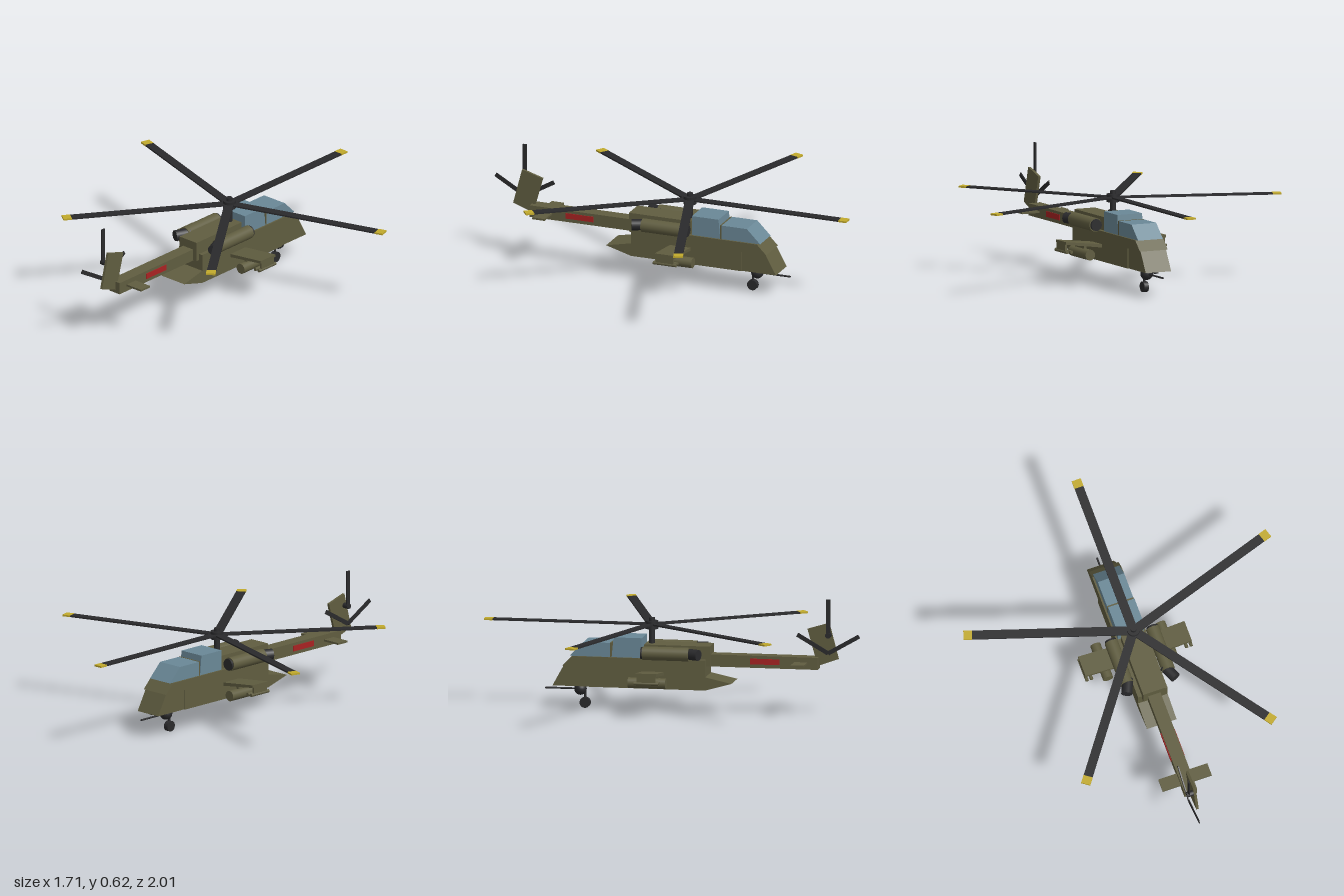
import * as THREE from 'three';

const mat = (name, color) => {
  const m = new THREE.MeshStandardMaterial({ color });
  m.name = name;
  return m;
};

export function createModel() {
  const model = new THREE.Group();
  model.name = 'attackHelicopter';
  const olive = mat('olive', 0x605d40);
  const glass = mat('canopyGlass', 0x6a8897);
  const black = mat('black', 0x2a2a2c);
  const yellow = mat('yellow', 0xc2aa2c);
  const red = mat('red', 0xa82222);

  const add = (name, geo, material, x = 0, y = 0, z = 0, parent = model) => {
    const mesh = new THREE.Mesh(geo, material);
    mesh.name = name;
    mesh.position.set(x, y, z);
    parent.add(mesh);
    return mesh;
  };
  const box = (w, h, d) => new THREE.BoxGeometry(w, h, d);
  const cylY = (r, h, n = 20) => new THREE.CylinderGeometry(r, r, h, n);
  const cylX = (r, h, n) => cylY(r, h, n).rotateZ(Math.PI / 2);
  const cylZ = (r, h, n) => cylY(r, h, n).rotateX(Math.PI / 2);
  // Side profile of [z, y] points, extruded across x
  const side = (points, width) => {
    const shape = new THREE.Shape(points.map(([z, y]) => new THREE.Vector2(-z, y)));
    return new THREE.ExtrudeGeometry(shape, { depth: width, bevelEnabled: false })
      .rotateY(Math.PI / 2).translate(-width / 2, 0, 0);
  };

  // Body
  add('fuselage', side([[0.19, 0.125], [0.19, 0.285], [-0.52, 0.285], [-0.573, 0.232],
    [-0.43, 0.232], [-0.43, 0.125]], 0.164), olive);
  add('nose', side([[-0.43, 0.125], [-0.43, 0.234], [-0.565, 0.234], [-0.625, 0.125]], 0.15), olive);
  add('rearFairing', side([[0.19, 0.125], [0.33, 0.165], [0.19, 0.195]], 0.164), olive);
  add('engineHousing', box(0.12, 0.105, 0.35), olive, 0, 0.3025, 0.035);

  // Stepped canopy
  add('rearCanopy', side([[-0.15, 0.285], [-0.15, 0.39], [-0.3, 0.39], [-0.31, 0.285]], 0.146), glass);
  add('frontCanopy', side([[-0.318, 0.285], [-0.318, 0.36], [-0.46, 0.36], [-0.535, 0.285]], 0.146), glass);
  add('canopyFrame', box(0.148, 0.076, 0.008), olive, 0, 0.323, -0.314);

  // Tail
  add('tailBoom', box(0.07, 0.064, 0.6), olive, 0, 0.278, 0.48);
  add('stabilizer', box(0.272, 0.01, 0.07), olive, 0, 0.279, 0.69);
  add('tailFin', side([[0.885, 0.302], [0.835, 0.492], [0.72, 0.457], [0.775, 0.262]], 0.014), olive);

  // Tail rotor, the two lower blades meeting in a V
  const tailRotor = new THREE.Group();
  tailRotor.name = 'tailRotor';
  tailRotor.position.set(-0.032, 0.43, 0.835);
  model.add(tailRotor);
  add('tailRotorHub', cylX(0.015, 0.034, 14), black, 0.008, 0, 0, tailRotor);
  for (let i = 0; i < 3; i++) {
    const a = i * Math.PI * 2 / 3;
    const blade = add('tailBlade', box(0.006, 0.19, 0.022), black,
      0, 0.095 * Math.cos(a), 0.095 * Math.sin(a), tailRotor);
    blade.rotation.x = -a;
  }

  // Main rotor
  const rotor = new THREE.Group();
  rotor.name = 'mainRotor';
  rotor.position.set(0, 0.455, -0.11);
  model.add(rotor);
  add('mast', cylY(0.016, 0.14), black, 0, -0.035, 0, rotor);
  add('rotorHub', cylY(0.034, 0.042), black, 0, -0.003, 0, rotor);
  for (let i = 0; i < 5; i++) {
    const arm = new THREE.Group();
    arm.name = 'rotorBlade';
    arm.rotation.y = i * Math.PI * 2 / 5;
    rotor.add(arm);
    add('blade', box(0.048, 0.008, 0.845), black, 0, 0, -0.4225, arm);
    add('bladeTip', box(0.05, 0.009, 0.045), yellow, 0, 0, -0.8675, arm);
  }

  // Paired parts
  for (const s of [1, -1]) {
    add('redStripe', box(0.004, 0.03, 0.155), red, s * 0.0365, 0.28, 0.498);

    // Engines
    add('engine', cylZ(0.036, 0.245, 24), olive, s * 0.115, 0.319, -0.0125);
    add('intake', cylZ(0.031, 0.014, 24), black, s * 0.115, 0.319, -0.139);
    const exhaust = add('exhaust', cylZ(0.029, 0.085, 20), black, s * 0.119, 0.32, 0.125);
    exhaust.rotation.y = s * 0.4;

    // Stub wing, rising to the tip
    const wing = new THREE.Shape([[0.07, 0.197], [0.295, 0.227], [0.295, 0.241], [0.07, 0.215]]
      .map(([x, y]) => new THREE.Vector2(s * x, y)));
    add('stubWing', new THREE.ExtrudeGeometry(wing, { depth: 0.115, bevelEnabled: false }),
      olive, 0, 0, -0.145);
    add('podPylon', box(0.014, 0.03, 0.1), olive, s * 0.18, 0.205, -0.09);
    add('rocketPod', cylZ(0.028, 0.2), olive, s * 0.18, 0.172, -0.1);
    add('tipPylon', box(0.01, 0.05, 0.1), olive, s * 0.29, 0.21, -0.085);
    for (const x of [0.264, 0.289]) {
      add('missile', cylZ(0.009, 0.13, 12), olive, s * x, 0.187, -0.085);
    }
  }

  // Chin gun and front wheel
  add('gunTurret', new THREE.SphereGeometry(0.033, 24, 16), black, 0, 0.1, -0.49);
  add('gunBarrel', cylZ(0.005, 0.17, 10), black, 0, 0.1, -0.592);
  add('noseSensor', box(0.022, 0.012, 0.034), black, 0, 0.12, -0.585);
  add('wheelStrut', cylY(0.006, 0.1, 10), black, 0, 0.078, -0.465);
  add('wheel', cylX(0.028, 0.026, 24), black, 0, 0.028, -0.465);

  return model;
}
